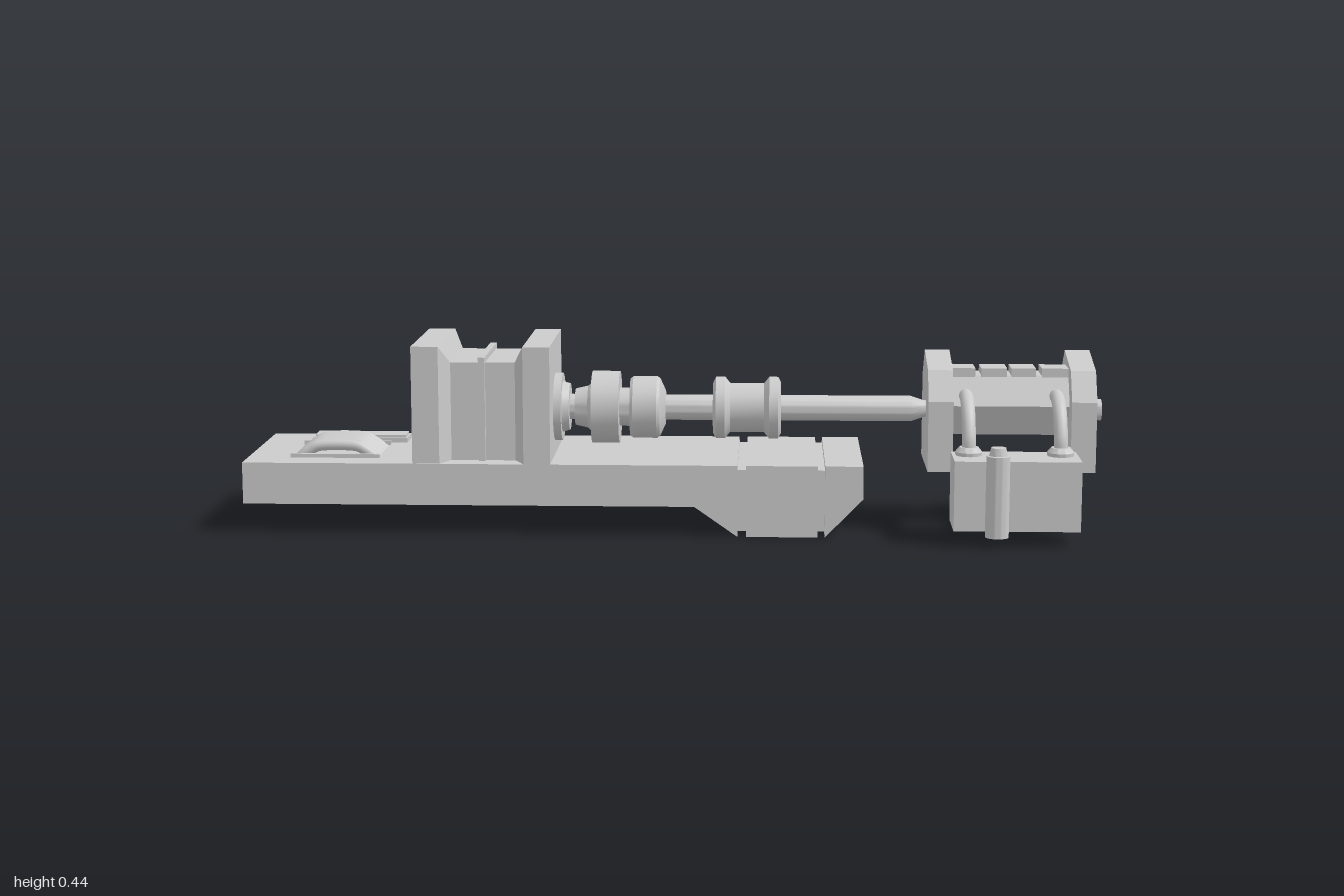
import * as THREE from 'three';
import { toCreasedNormals } from 'three/addons/utils/BufferGeometryUtils.js';

const material = new THREE.MeshStandardMaterial({ color: 0xcccccc });
const openMaterial = new THREE.MeshStandardMaterial({ color: 0xcccccc, side: THREE.DoubleSide });
const V = (x, y, z) => new THREE.Vector3(x, y, z);

export function createModel() {
  const model = new THREE.Group();
  const add = (name, geometry, mat = material) => {
    const mesh = new THREE.Mesh(geometry, mat);
    mesh.name = name;
    model.add(mesh);
    return mesh;
  };

  // Box given by its limits on each axis
  const box = (name, x0, x1, y0, y1, z0, z1) =>
    add(name, new THREE.BoxGeometry(x1 - x0, y1 - y0, z1 - z0)
      .translate((x0 + x1) / 2, (y0 + y1) / 2, (z0 + z1) / 2));

  // Box whose [y0, y1, z0, z1] section changes from a to b along x
  const frustum = (name, x0, x1, a, b) => {
    const g = new THREE.BoxGeometry(2, 2, 2), p = g.attributes.position;
    for (let i = 0; i < p.count; i++) {
      const s = p.getX(i) < 0 ? a : b;
      p.setXYZ(i, p.getX(i) < 0 ? x0 : x1, p.getY(i) < 0 ? s[0] : s[1], p.getZ(i) < 0 ? s[2] : s[3]);
    }
    g.computeVertexNormals();
    return add(name, g);
  };

  const extrude = (points, depth) => new THREE.ExtrudeGeometry(
    new THREE.Shape(points.map(([a, b]) => new THREE.Vector2(a, b))), { depth, bevelEnabled: false });
  // Side profile (x, y) across z, and end profile (z, y) along x
  const extrudeZ = (name, points, z0, z1) => add(name, extrude(points, z1 - z0).translate(0, 0, z0));
  const extrudeX = (name, points, x0, x1) =>
    add(name, extrude(points.map(([z, y]) => [-z, y]), x1 - x0).rotateY(Math.PI / 2).translate(x0, 0, 0));

  // Turned part from [position, radius] pairs, upright or along x
  const turned = (points) => toCreasedNormals(
    new THREE.LatheGeometry(points.map(([h, r]) => new THREE.Vector2(r, h)), 32), 0.5);
  const turnedX = (name, points, y, z) =>
    add(name, turned(points).rotateZ(-Math.PI / 2).translate(0, y, z));
  const turnedY = (name, points, x, z) => add(name, turned(points).translate(x, 0, z));
  const tube = (name, points, r, tension = 0.5) => add(name, new THREE.TubeGeometry(
    new THREE.CatmullRomCurve3(points, false, 'catmullrom', tension), 32, r, 16), openMaterial);

  // Base slab with a notch in its rear edge
  const Z0 = -0.163, Z1 = 0.232;
  const plan = [[-1, Z0], [-0.605, Z0], [-0.56, -0.118], [-0.345, -0.118], [-0.28, Z0],
    [0.05, Z0], [0.05, Z1], [-1, Z1]];
  add('baseSlab', extrude(plan.map(([x, z]) => [x, -z]), 0.097).rotateX(-Math.PI / 2).translate(0, 0.07, 0));
  for (const [x0, x1] of [[-0.57, -0.5], [-0.48, -0.42], [-0.4, -0.34]])
    box('notchClip', x0, x1, 0.105, 0.15, -0.14, -0.11);
  box('notchRail', -0.59, -0.3, 0.115, 0.14, -0.13, -0.11);

  // Deeper grooved end of the base
  extrudeZ('baseTransition', [[0.05, 0.07], [0.15, 0], [0.15, 0.167], [0.05, 0.167]], Z0, Z1);
  box('baseBlock', 0.17, 0.335, 0, 0.167, Z0, Z1);
  extrudeZ('baseEnd', [[0.352, 0], [0.44, 0.09], [0.44, 0.167], [0.352, 0.167]], Z0, Z1);
  box('baseCore', 0.14, 0.36, 0.012, 0.155, Z0 + 0.012, Z1 - 0.012);

  // Rear grab rail with sleeves
  tube('rearRail', [V(0.09, 0.138, -0.155), V(0.095, 0.138, -0.178), V(0.12, 0.138, -0.183),
    V(0.39, 0.138, -0.183), V(0.415, 0.138, -0.178), V(0.42, 0.138, -0.155)], 0.012);
  for (const [x0, x1] of [[0.09, 0.15], [0.17, 0.335], [0.352, 0.415]])
    turnedX('railSleeve', [[x0, 0], [x0, 0.017], [x1, 0.017], [x1, 0]], 0.138, -0.183);

  // Housing: two end plates tapering into a narrower middle
  const outer = [0.165, 0.44, -0.095, 0.23], inner = [0.165, 0.397, -0.06, 0.18];
  frustum('housingPlate', -0.603, -0.54, outer, outer);
  frustum('housingTaper', -0.54, -0.518, outer, inner);
  frustum('housingMiddle', -0.518, -0.368, inner, inner);
  frustum('housingTaper', -0.368, -0.345, inner, outer);
  frustum('housingPlate', -0.345, -0.283, outer, outer);
  box('housingRib', -0.452, -0.437, 0.165, 0.41, -0.073, 0.193);
  extrudeX('housingFillet', [[-0.09, 0.16], [-0.09, 0.18], [-0.102, 0.18], [-0.115, 0.165], [-0.115, 0.16]], -0.56, -0.35);

  // Drive shaft and its couplings
  const AY = 0.277, AZ = 0.068;
  turnedX('driveShaft', [[-0.3, 0], [-0.3, 0.03], [0.555, 0.03], [0.585, 0.02], [0.6, 0.02], [0.6, 0]], AY, AZ);
  turnedX('shaftSeal', [[-0.285, 0], [-0.285, 0.08], [-0.265, 0.08], [-0.265, 0.06],
    [-0.248, 0.055], [-0.248, 0]], AY, AZ);
  turnedX('wideCoupling', [[-0.235, 0], [-0.235, 0.043], [-0.205, 0.05], [-0.195, 0.06], [-0.195, 0.085],
    [-0.13, 0.085], [-0.13, 0.045], [-0.105, 0.045], [-0.105, 0.068], [-0.098, 0.073],
    [-0.042, 0.073], [-0.035, 0.068], [-0.022, 0.04], [-0.022, 0]], AY, AZ);
  turnedX('flangedCoupling', [[0.09, 0], [0.09, 0.06], [0.097, 0.073], [0.118, 0.073], [0.13, 0.058],
    [0.21, 0.058], [0.222, 0.073], [0.243, 0.073], [0.25, 0.06], [0.25, 0]], AY, AZ);
  turnedX('shaftEnd', [[0.96, 0], [0.96, 0.025], [1, 0.025], [1, 0]], AY, AZ);

  // Machine head: two shaped end plates around a six-sided body
  const plate = [[0.174, 0.145], [0.174, 0.31], [0.133, 0.378], [0.004, 0.409], [-0.064, 0.341], [-0.064, 0.145]];
  extrudeX('headPlate', plate, 0.59, 0.648);
  extrudeX('headPlate', plate, 0.92, 0.978);
  extrudeX('headBody', [[-0.03, 0.293], [0.01, 0.36], [0.09, 0.36], [0.13, 0.293],
    [0.09, 0.22], [0.01, 0.22]], 0.64, 0.93);
  for (const [x0, x1] of [[0.65, 0.703], [0.717, 0.777], [0.787, 0.844], [0.858, 0.92]])
    box('headCap', x0, x1, 0.35, 0.377, 0.02, 0.092);

  // Tank with two feed pipes and an upright canister
  box('tank', 0.642, 0.93, 0.035, 0.196, 0.183, 0.315);
  for (const x of [0.68, 0.89]) {
    turnedY('pipeFlange', [[0.19, 0], [0.19, 0.03], [0.204, 0.031], [0.215, 0.022], [0.215, 0]], x, 0.228);
    tube('feedPipe', [V(x, 0.2, 0.23), V(x, 0.235, 0.226), V(x, 0.275, 0.206),
      V(x, 0.302, 0.178), V(x, 0.315, 0.14), V(x, 0.315, 0.1)], 0.016);
  }
  turnedY('canister', [[0.023, 0], [0.023, 0.027], [0.21, 0.027], [0.211, 0.021], [0.229, 0.017], [0.229, 0]], 0.74, 0.316);

  // Rear exhaust with silencer and outlet
  const EY = 0.068, EZ = -0.203;
  tube('exhaustInlet', [V(-0.86, EY, -0.15), V(-0.86, EY, -0.18), V(-0.85, EY, -0.198),
    V(-0.83, EY, EZ), V(-0.79, EY, EZ)], 0.027);
  turnedX('silencer', [[-0.81, 0], [-0.81, 0.02], [-0.79, 0.015], [-0.77, 0.018], [-0.745, 0.031],
    [-0.53, 0.031], [-0.505, 0.018], [-0.49, 0.015], [-0.465, 0.02], [-0.465, 0]], EY, EZ);
  tube('exhaustElbow', [V(-0.48, EY, EZ), V(-0.43, EY, EZ), V(-0.404, EY, -0.208),
    V(-0.39, EY, -0.222), V(-0.386, EY, -0.245)], 0.025);
  add('exhaustOutlet', new THREE.CylinderGeometry(0.029, 0.029, 0.108, 24, 1, true)
    .rotateX(Math.PI / 2).translate(-0.386, EY + 0.001, -0.291), openMaterial);
  add('outletInside', new THREE.CircleGeometry(0.028, 24)
    .translate(-0.386, EY, -0.25), openMaterial);

  // Arched cooling tubes between thin rails, beside a low cover
  for (let i = 0; i < 5; i++) {
    const z = 0.012 + i * 0.031;
    tube('coolingArch', [V(-0.885, 0.16, z), V(-0.86, 0.18, z), V(-0.83, 0.192, z),
      V(-0.755, 0.192, z), V(-0.725, 0.18, z), V(-0.7, 0.16, z)], 0.013);
  }
  for (const z of [-0.018, 0.158]) box('coolingRail', -0.9, -0.69, 0.16, 0.176, z - 0.005, z + 0.005);
  box('lowCover', -0.885, -0.655, 0.16, 0.178, -0.12, -0.045);
  box('coverRidge', -0.88, -0.66, 0.17, 0.184, -0.11, -0.055);

  return model;
}
